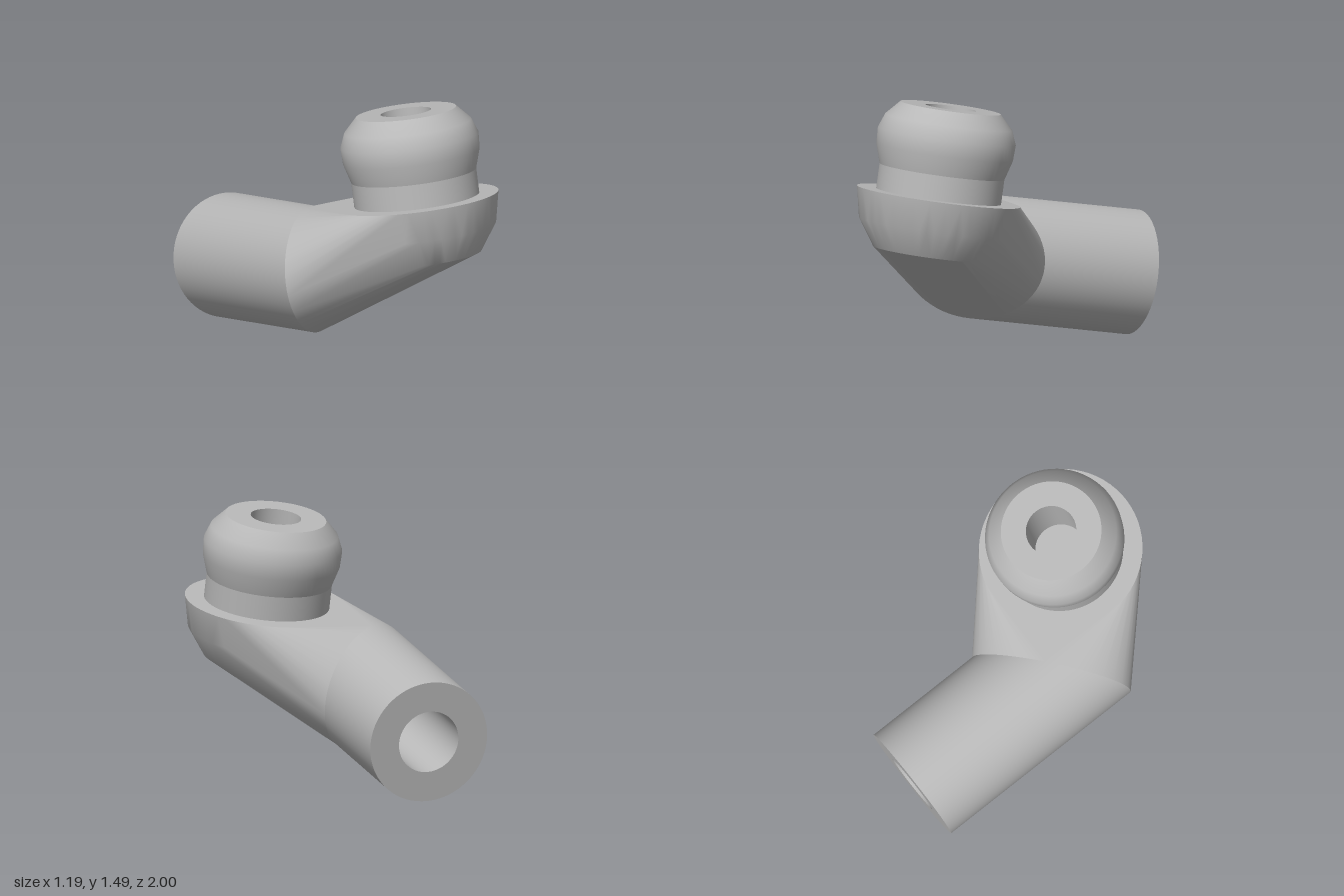
import * as THREE from 'three';
import { mergeGeometries, toCreasedNormals } from 'three/addons/utils/BufferGeometryUtils.js';
import { ConvexGeometry } from 'three/addons/geometries/ConvexGeometry.js';

const SEG = 64;

// Revolve several profile runs; edges between runs stay sharp
function revolve(runs) {
  return mergeGeometries(runs.map(run =>
    new THREE.LatheGeometry(run.map(([r, h]) => new THREE.Vector2(r, h)), SEG)));
}

export function createModel() {
  const grey = new THREE.MeshStandardMaterial({ color: 0xb8b8b8 });
  grey.name = 'grey';

  // Local frame: origin at the centre of the flat top of the elbow, y along the knob axis
  const model = new THREE.Group();
  model.name = 'pipeElbow';
  const fitting = new THREE.Group();
  fitting.name = 'fitting';
  fitting.position.set(0.137, 0.953, 0.545);
  fitting.rotation.x = -THREE.MathUtils.degToRad(10);
  model.add(fitting);

  const add = (name, geometry) => {
    const mesh = new THREE.Mesh(geometry, grey);
    mesh.name = name;
    fitting.add(mesh);
    return mesh;
  };

  const pipeR = 0.35, boreR = 0.178, pipeLength = 0.99, ballR = 0.46;
  const mitreCentre = new THREE.Vector3(-0.315, -pipeR, -0.562);
  const angle = THREE.MathUtils.degToRad(14.9);
  const across = new THREE.Vector3(Math.cos(angle), 0, Math.sin(angle));
  const along = new THREE.Vector3(Math.sin(angle), 0, -Math.cos(angle));
  const up = new THREE.Vector3(0, 1, 0);
  const mitreSlope = 0.83;

  // Elbow: half ball with a flat top, stretched over to the slanted pipe mitre
  const points = [];
  for (let i = 0; i < SEG; i++) {
    const t = i / SEG * Math.PI * 2;
    for (let ring = 0; ring < 3; ring++) {
      const lat = ring * Math.PI / 8;
      const r = ballR * Math.cos(lat);
      points.push(new THREE.Vector3(r * Math.cos(t), -ballR * Math.sin(lat), r * Math.sin(t)));
    }
    const s = pipeR * Math.cos(t);
    points.push(mitreCentre.clone()
      .addScaledVector(across, s)
      .addScaledVector(along, s * mitreSlope)
      .addScaledVector(up, pipeR * Math.sin(t)));
  }
  add('elbow', toCreasedNormals(new ConvexGeometry(points), 0.42));

  // Pipe: hollow, its near end cut along the mitre
  const pipe = revolve([
    [[pipeR, 0], [pipeR, pipeLength]],
    [[pipeR, pipeLength], [boreR, pipeLength]],
    [[boreR, pipeLength], [boreR, 0]],
  ]);
  const pos = pipe.attributes.position;
  for (let i = 0; i < pos.count; i++) {
    if (pos.getY(i) < 0.001) pos.setY(i, pos.getX(i) * mitreSlope);
  }
  pipe.applyMatrix4(new THREE.Matrix4().makeBasis(across, along, up).setPosition(mitreCentre));
  add('pipe', pipe);

  // Neck and rounded knob with a blind bore
  add('neck', revolve([[[0.352, -0.02], [0.352, 0.14]]]));
  const knobTop = 0.5, knobBore = 0.142;
  add('knob', revolve([
    [[0.352, 0.14], [0.385, 0.25], [0.389, 0.34], [0.358, 0.42], [0.283, knobTop]],
    [[0.283, knobTop], [knobBore, knobTop]],
    [[knobBore, knobTop], [knobBore, 0.005]],
    [[knobBore, 0.005], [0, 0.005]],
  ]));

  return model;
}
